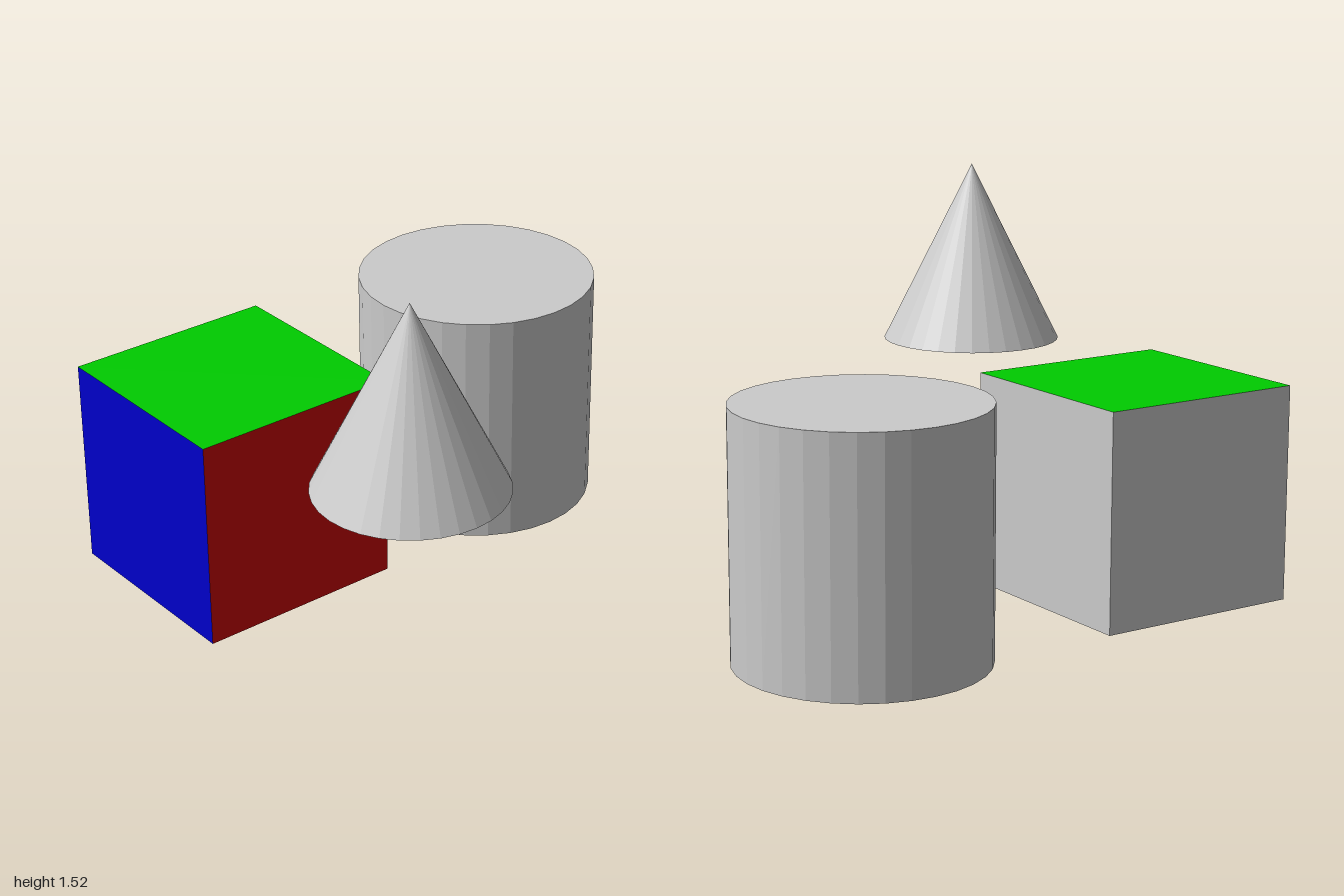
import * as THREE from 'three';

const paint = (color, flatShading = false) => new THREE.MeshStandardMaterial({ color, flatShading });

export function createModel() {
  const model = new THREE.Group();
  const add = (name, geometry, material, x, y, z) => {
    const mesh = new THREE.Mesh(geometry, material);
    mesh.name = name;
    mesh.position.set(x, y, z);
    model.add(mesh);
  };
  const grey = paint(0xcccccc);
  const faceted = paint(0xcccccc, true);

  // Cube: red on +x, green on top, blue at the front, grey elsewhere
  const sides = [paint(0xcc0000), grey, paint(0x00cc00), grey, paint(0x0000cc), grey];
  add('cube', new THREE.BoxGeometry(0.79, 0.79, 0.79), sides, -0.46, 0.455, 0.605);

  // Faceted cylinder standing on the ground behind the cube
  add('cylinder', new THREE.CylinderGeometry(0.4525, 0.4525, 0.905, 32), faceted, -0.46, 0.4525, -0.5475);

  // Faceted cone floating beside the cube
  add('cone', new THREE.ConeGeometry(0.34, 0.68, 32), faceted, 0.57, 1.18, 0.605);

  return model;
}
